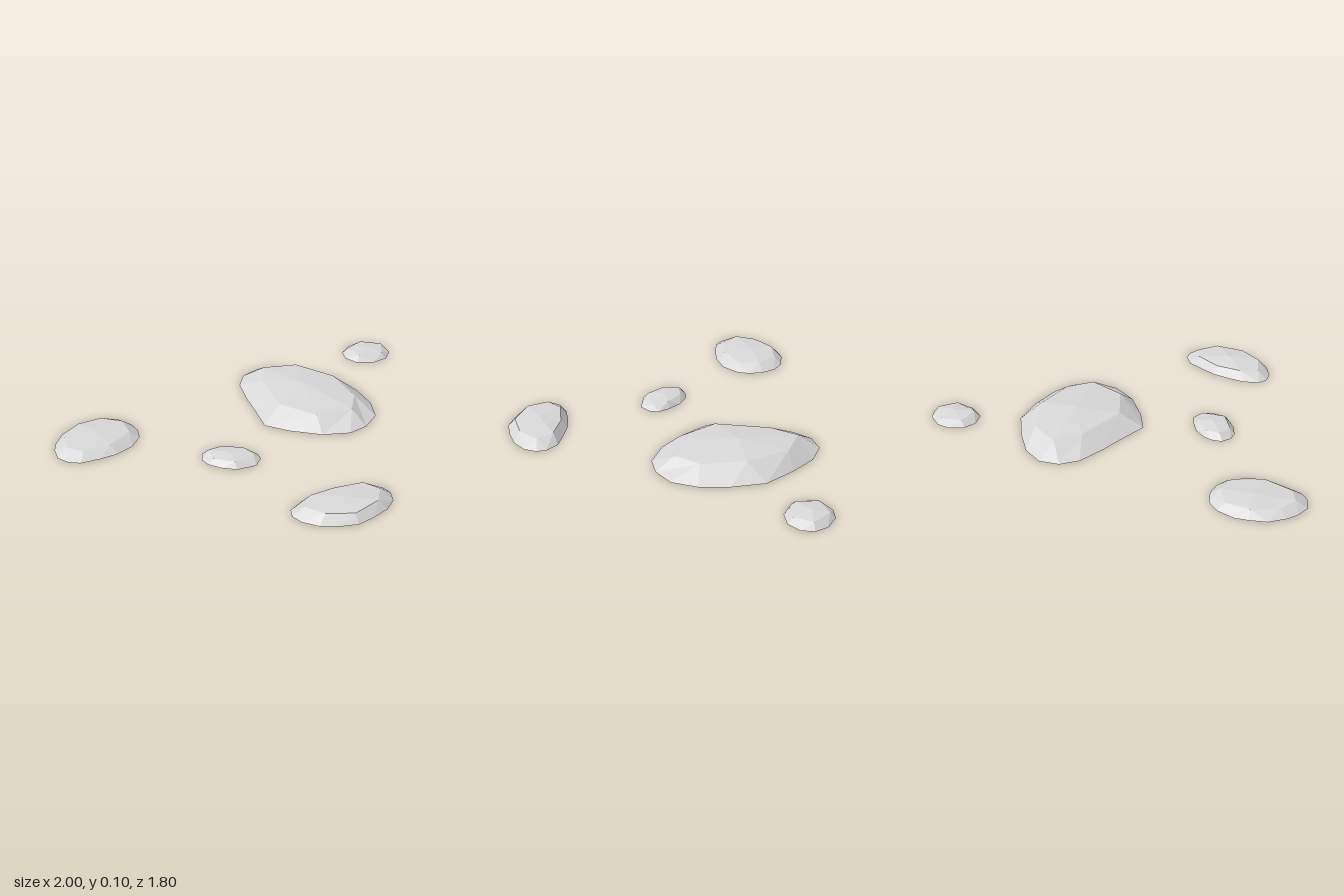
import * as THREE from 'three';

const stone = new THREE.MeshStandardMaterial({ color: 0xd8d8d8, flatShading: true, side: THREE.DoubleSide });
stone.name = 'pale stone grey';

// Shoulder ring for a small rock: every second ground point pulled in towards the peak
function shoulder(outline, [px, py, pz], inset = 0.77, lift = 0.74) {
  return outline.filter((_, i) => i % 2 === 0).map(([x, z], j) => [
    px + (x - px) * inset,
    py * (lift + (j % 2 ? 0.05 : -0.05)),
    pz + (z - pz) * inset,
  ]);
}

// Open faceted dome: ground outline [x, z], shoulder ring [x, y, z] of half as many points, and a peak
function makeRock(name, outline, peak, ring = shoulder(outline, peak)) {
  const ground = outline.map(([x, z]) => [x, 0, z]);
  const positions = [];
  const tri = (...corners) => corners.forEach((c) => positions.push(...c));
  for (let j = 0; j < ring.length; j++) {
    const a = ring[j];
    const b = ring[(j + 1) % ring.length];
    const g0 = ground[2 * j];
    const g1 = ground[2 * j + 1];
    const g2 = ground[(2 * j + 2) % ground.length];
    tri(peak, b, a);
    tri(a, b, g1);
    tri(a, g1, g0);
    tri(b, g2, g1);
  }
  const geometry = new THREE.BufferGeometry();
  geometry.setAttribute('position', new THREE.Float32BufferAttribute(positions, 3));
  geometry.computeVertexNormals();
  const mesh = new THREE.Mesh(geometry, stone);
  mesh.name = name;
  return mesh;
}

export function createModel() {
  const group = new THREE.Group();
  group.name = 'flatRocks';

  // Large central rock with its own shoulder ring
  group.add(makeRock('largeRock', [
    [0.2, -0.71], [0.33, -0.7], [0.47, -0.63], [0.62, -0.53],
    [0.7, -0.37], [0.74, -0.22], [0.73, -0.08], [0.65, 0.02],
    [0.55, 0.07], [0.4, 0.06], [0.24, -0.01], [0.12, -0.09],
    [0.1, -0.26], [0.08, -0.39], [0.07, -0.55], [0.11, -0.65],
  ], [0.39, 0.1, -0.33], [
    [0.22, 0.07, -0.6], [0.4, 0.075, -0.59], [0.57, 0.08, -0.42], [0.64, 0.07, -0.2],
    [0.59, 0.07, -0.06], [0.39, 0.07, -0.03], [0.22, 0.075, -0.17], [0.18, 0.07, -0.45],
  ]));

  // Rock on the right-hand side
  group.add(makeRock('sideRock', [
    [-0.72, -0.32], [-0.64, -0.3], [-0.58, -0.24], [-0.55, -0.17],
    [-0.55, -0.1], [-0.6, -0.01], [-0.69, 0.05], [-0.78, 0.08],
    [-0.88, 0.1], [-0.94, 0.08], [-0.99, 0.03], [-1, -0.05],
    [-0.99, -0.11], [-0.95, -0.2], [-0.88, -0.26], [-0.82, -0.3],
  ], [-0.78, 0.05, -0.13]));

  // Oblong rock at the front
  group.add(makeRock('frontRock', [
    [0.32, 0.59], [0.42, 0.58], [0.51, 0.575], [0.58, 0.61],
    [0.605, 0.655], [0.6, 0.725], [0.55, 0.795], [0.47, 0.85],
    [0.38, 0.895], [0.29, 0.895], [0.19, 0.875], [0.115, 0.825],
    [0.08, 0.77], [0.085, 0.715], [0.15, 0.655], [0.23, 0.62],
  ], [0.35, 0.06, 0.73]));

  // Small rock near the middle
  group.add(makeRock('middlePebble', [
    [-0.16, 0.09], [-0.09, 0.1], [-0.02, 0.14], [0.03, 0.185],
    [0.035, 0.23], [0, 0.29], [-0.105, 0.31], [-0.18, 0.28],
    [-0.24, 0.235], [-0.265, 0.185], [-0.255, 0.13], [-0.21, 0.1],
  ], [-0.12, 0.04, 0.195]));

  // Small round rock at the back
  group.add(makeRock('backPebble', [
    [0.85, -0.905], [0.94, -0.885], [0.99, -0.835], [1, -0.77], [0.96, -0.7],
    [0.88, -0.665], [0.78, -0.68], [0.73, -0.745], [0.73, -0.815], [0.78, -0.88],
  ], [0.87, 0.042, -0.79]));

  return group;
}
